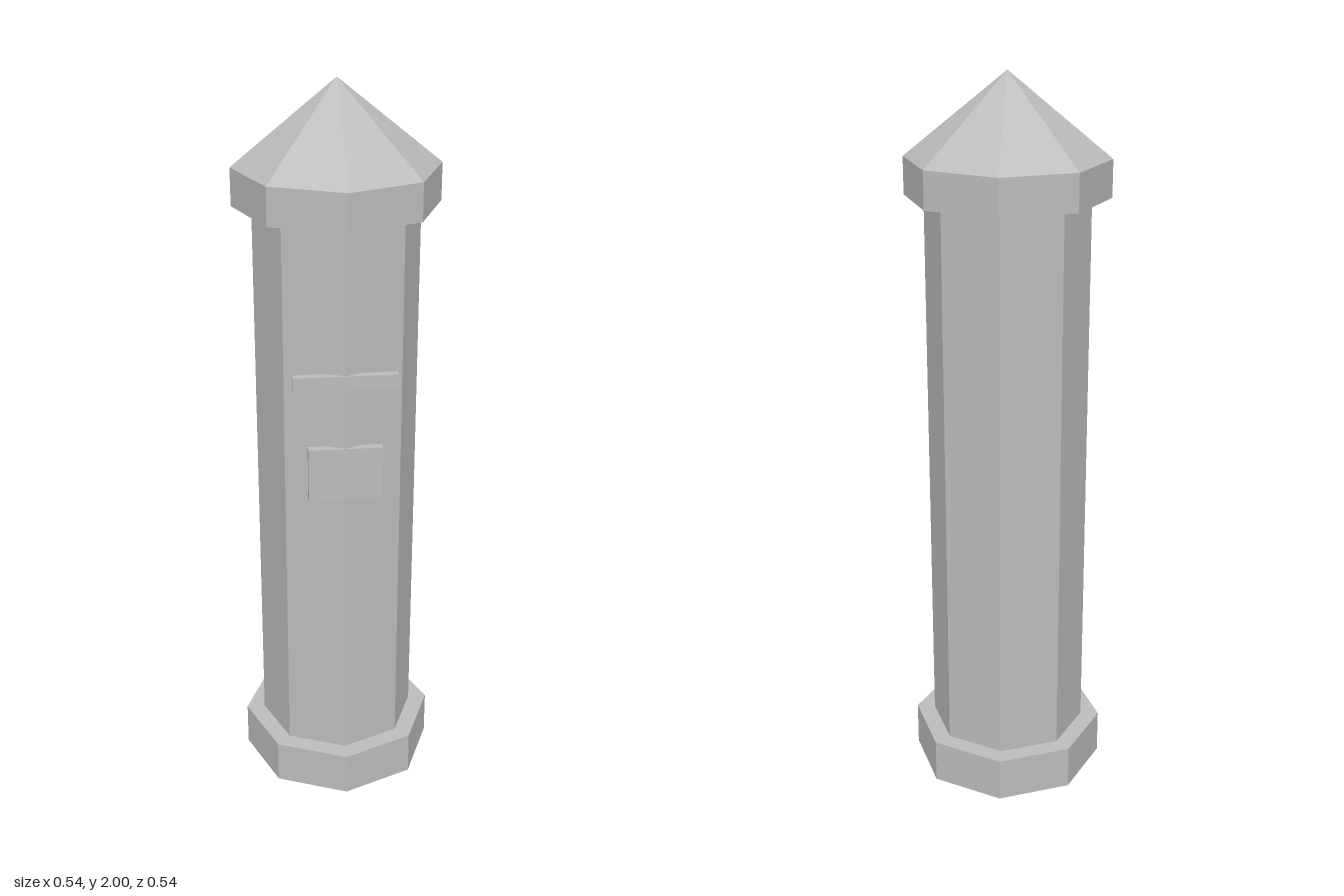
import * as THREE from 'three';

export function createModel() {
  const group = new THREE.Group();
  const stone = new THREE.MeshStandardMaterial({ color: 0xbcbcbc, flatShading: true });
  stone.name = 'grey stone';

  const add = (name, geometry, y, z = 0) => {
    const mesh = new THREE.Mesh(geometry, stone);
    mesh.name = name;
    mesh.position.set(0, y, z);
    group.add(mesh);
  };

  // Eight-sided section between two heights, with a corner facing the front
  const octagon = (name, radius, y0, y1) =>
    add(name, new THREE.CylinderGeometry(radius, radius, y1 - y0, 8), (y0 + y1) / 2);

  octagon('base', 0.272, 0, 0.125);
  octagon('shaft', 0.22, 0.125, 1.68);
  octagon('capRim', 0.272, 1.68, 1.78);
  add('pointedRoof', new THREE.ConeGeometry(0.272, 0.22, 8), 1.89);

  // Shallow front fittings, sunk into the shaft's front corner
  const fitting = (name, width, y0, y1) =>
    add(name, new THREE.BoxGeometry(width, y1 - y0, 0.022), (y0 + y1) / 2, 0.211);

  fitting('slotBar', 0.273, 1.25, 1.29);
  fitting('noticePlate', 0.196, 0.937, 1.085);

  return group;
}
